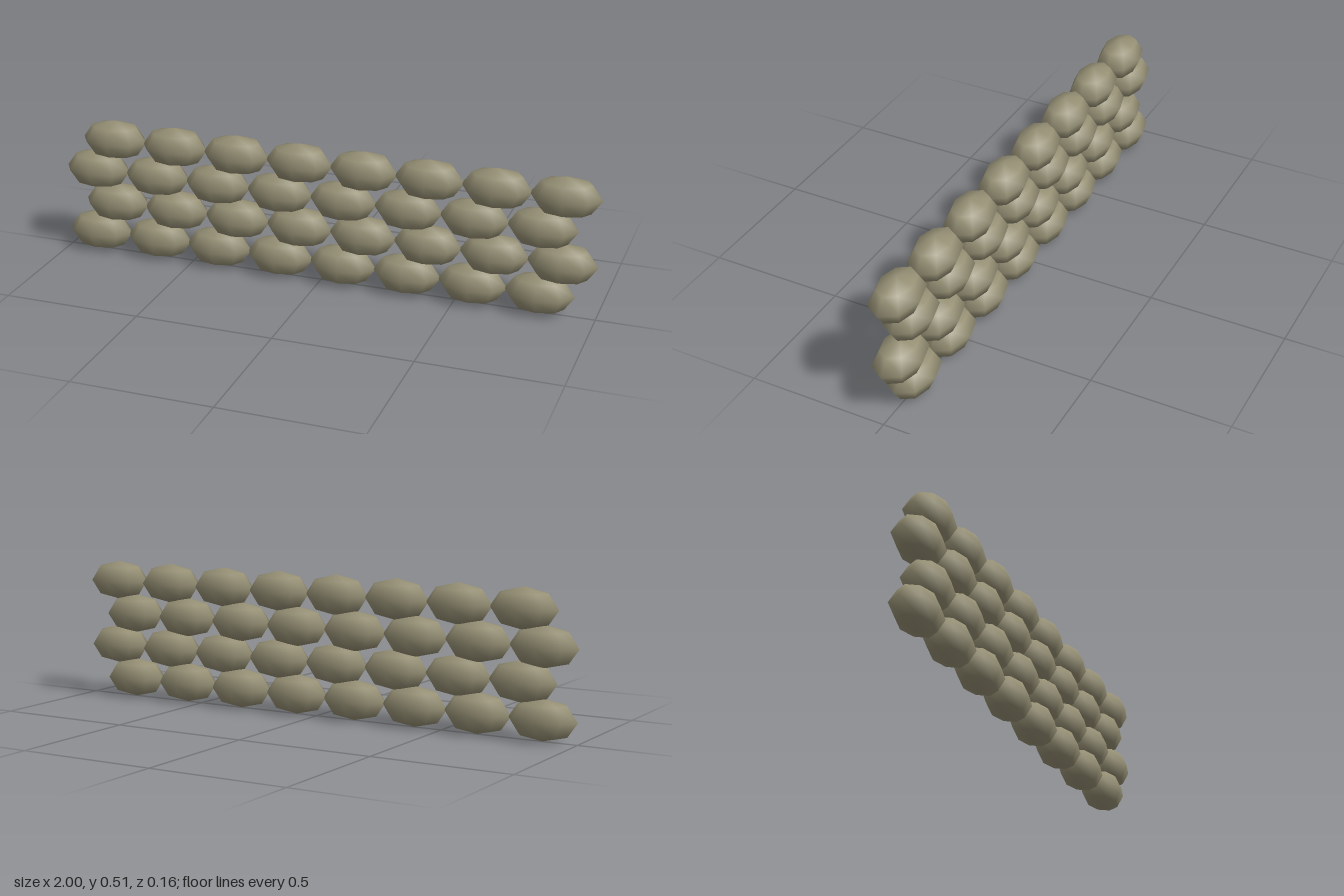
import * as THREE from 'three';

export function createModel() {
  const group = new THREE.Group();
  group.name = 'sandbagWall';

  const burlap = new THREE.MeshStandardMaterial({ color: 0x958f74 });
  burlap.name = 'burlap';

  // One low-poly bag, stretched along the wall
  const bagGeometry = new THREE.SphereGeometry(1, 8, 4);
  bagGeometry.scale(0.125, 0.073, 0.08);

  const rows = 4, bagsPerRow = 8;
  const pitchX = 0.2394, pitchY = 0.1227, firstY = 0.0757;

  // Courses alternate sideways, as in running bond
  for (let r = 0; r < rows; r++) {
    const course = new THREE.Group();
    course.name = `course${r + 1}`;
    course.position.set(r % 2 ? 0.037 : -0.037, firstY + r * pitchY, 0);
    for (let i = 0; i < bagsPerRow; i++) {
      const bag = new THREE.Mesh(bagGeometry, burlap);
      bag.name = 'sandbag';
      bag.position.x = (i - (bagsPerRow - 1) / 2) * pitchX;
      course.add(bag);
    }
    group.add(course);
  }
  return group;
}
